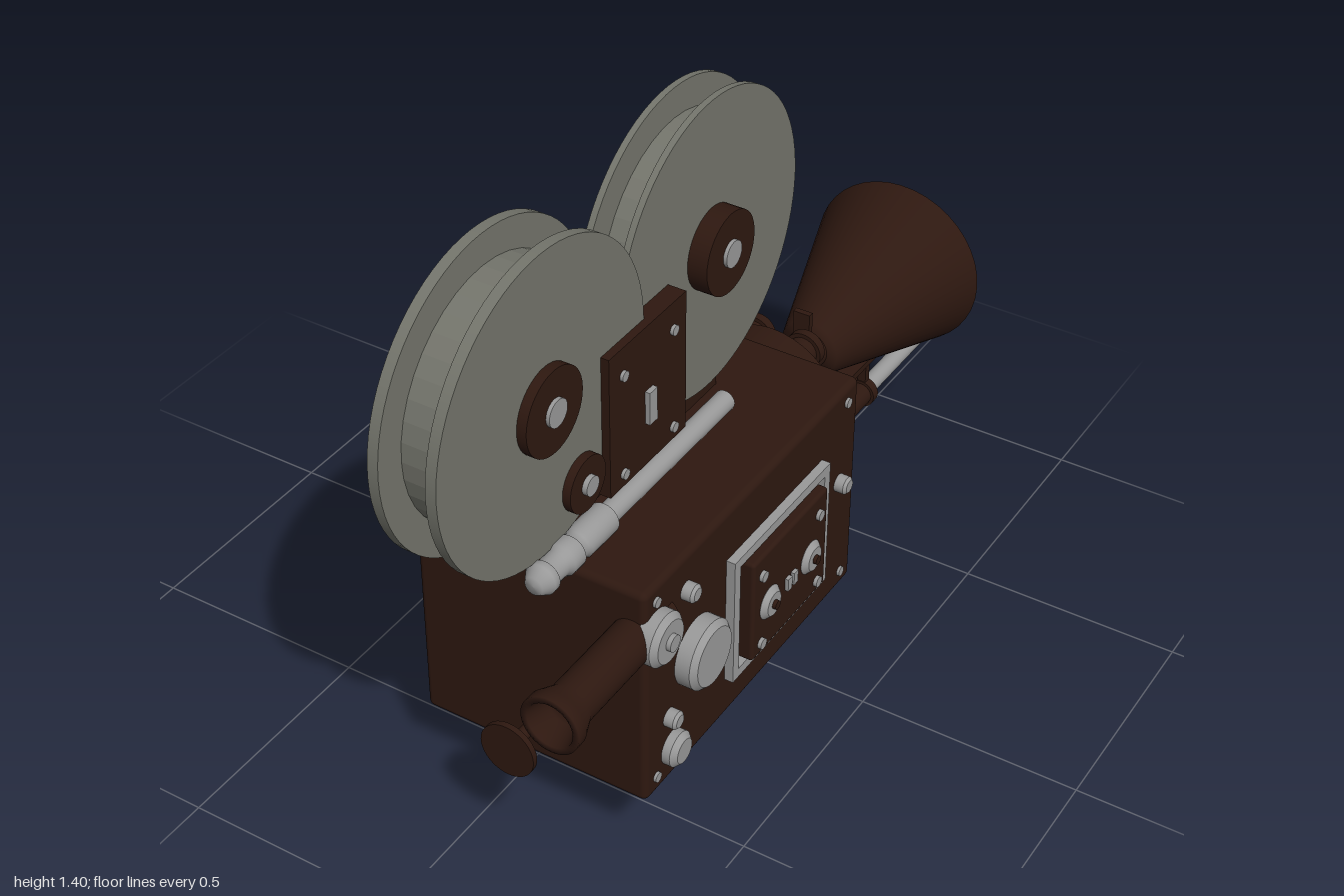
import * as THREE from 'three';
import { RoundedBoxGeometry } from 'three/addons/geometries/RoundedBoxGeometry.js';

const mat = (color, extra = {}) => new THREE.MeshStandardMaterial({ color, ...extra });
const BROWN = mat(0x2e1810);
const BROWN_OPEN = mat(0x2e1810, { side: THREE.DoubleSide });
const SILVER = mat(0x999999);
const REEL = mat(0x74756c);
const FILM = mat(0x74756c, { flatShading: true });
const CX = 0.094; // centre plane of reels, lens and head

export function createModel() {
  const model = new THREE.Group();

  function add(name, geometry, material, x = 0, y = 0, z = 0) {
    const mesh = new THREE.Mesh(geometry, material);
    mesh.name = name;
    mesh.position.set(x, y, z);
    model.add(mesh);
    return mesh;
  }
  // Boxes and cylinders are given by their extents along each axis
  function box(name, m, x0, x1, y0, y1, z0, z1, r = 0) {
    const s = [x1 - x0, y1 - y0, z1 - z0];
    const g = r ? new RoundedBoxGeometry(...s, 3, r) : new THREE.BoxGeometry(...s);
    return add(name, g, m, (x0 + x1) / 2, (y0 + y1) / 2, (z0 + z1) / 2);
  }
  function cylX(name, m, r, x0, x1, y, z, rEnd = r) {
    const g = new THREE.CylinderGeometry(rEnd, r, x1 - x0, 40).rotateZ(-Math.PI / 2);
    return add(name, g, m, (x0 + x1) / 2, y, z);
  }
  function cylZ(name, m, r, x, y, z0, z1, rEnd = r) {
    const g = new THREE.CylinderGeometry(rEnd, r, z1 - z0, 40).rotateX(Math.PI / 2);
    return add(name, g, m, x, y, (z0 + z1) / 2);
  }
  // Turned part along z; profile is [radius, z] from low z to high z
  function latheZ(name, m, profile, x, y) {
    const pts = profile.map(([r, z]) => new THREE.Vector2(r, z));
    return add(name, new THREE.LatheGeometry(pts, 40).rotateX(Math.PI / 2), m, x, y, 0);
  }
  // Button with a bevelled rim standing on the side panel
  function button(name, r, y, z, x1, x0 = 0.35) {
    const bevel = Math.min(0.012, r * 0.3);
    cylX(name, SILVER, r, x0, x1 - bevel, y, z);
    cylX(name + 'Rim', SILVER, r, x1 - bevel, x1, y, z, r - bevel);
  }

  // Camera body
  box('body', BROWN, -0.17, 0.36, 0.17, 0.7, -0.18, 0.645, 0.015);

  // Film reels: the front one is wider so the flanges overlap
  for (const [name, z, half, thick] of [['frontReel', 0.67, 0.073, 0.023], ['backReel', 0.06, 0.05, 0.014]]) {
    cylX(name + 'Film', FILM, 0.262, CX - half + thick, CX + half - thick, 1.075, z);
    for (const s of [-1, 1]) {
      const a = CX + s * half, b = CX + s * (half - thick);
      const flange = new THREE.CylinderGeometry(0.328, 0.328, thick, 72).rotateZ(Math.PI / 2);
      add(name + 'Flange', flange, REEL, (a + b) / 2, 1.075, z);
    }
    cylX(name + 'Hub', BROWN, 0.09, 0, 0.188, 1.075, z);
    cylX(name + 'Axle', SILVER, 0.029, -0.008, 0.196, 1.075, z);
  }

  // Reel bracket with screws, slots and guide roller on both sides
  box('reelBracket', BROWN, 0.003, 0.185, 0.755, 1.077, 0.22, 0.49);
  for (const z of [0.267, 0.443])
    for (const y of [0.785, 1.015]) cylX('bracketScrew', SILVER, 0.011, -0.004, 0.192, y, z);
  box('bracketSlot', SILVER, -0.008, 0.196, 0.855, 0.93, 0.34, 0.367);
  cylX('guideRoller', BROWN, 0.06, 0.003, 0.185, 0.84, 0.565);
  cylX('guideRollerPin', SILVER, 0.021, -0.008, 0.196, 0.84, 0.565);

  // Film throat flaring under the bracket
  const throat = new THREE.Shape();
  throat.moveTo(0, 0.69);
  throat.lineTo(0, 0.76);
  throat.quadraticCurveTo(0.15, 0.76, 0.23, 0.84);
  throat.lineTo(0.48, 0.84);
  throat.quadraticCurveTo(0.54, 0.75, 0.63, 0.74);
  throat.lineTo(0.63, 0.69);
  const throatGeo = new THREE.ExtrudeGeometry(throat, { depth: 0.058, bevelEnabled: false });
  add('filmThroat', throatGeo.rotateY(-Math.PI / 2), BROWN, CX + 0.029);

  // Silver tubes along the top
  for (const x of [0.005, 0.183])
    latheZ('topTube', SILVER, [
      [0, 0.065], [0.023, 0.065], [0.023, 0.5], [0.034, 0.51], [0.034, 0.6], [0.029, 0.605],
      [0.029, 0.62], [0.035, 0.625], [0.035, 0.66], [0.028, 0.67], [0.028, 0.705],
      [0.034, 0.71], [0.034, 0.725], [0.02, 0.748], [0, 0.75]], x, 0.722);

  // Side door: silver frame, raised panel, knobs and screws
  const frame = new THREE.Shape([[-0.03, 0.27], [0.35, 0.27], [0.35, 0.58], [-0.03, 0.58]]
    .map(p => new THREE.Vector2(-p[0], p[1])));
  frame.holes.push(new THREE.Path([[-0.008, 0.292], [-0.008, 0.558], [0.328, 0.558], [0.328, 0.292]]
    .map(p => new THREE.Vector2(-p[0], p[1]))));
  const frameGeo = new THREE.ExtrudeGeometry(frame, { depth: 0.025, bevelEnabled: false });
  add('doorFrame', frameGeo.rotateY(Math.PI / 2), SILVER, 0.355);
  box('doorPanel', BROWN, 0.35, 0.4, 0.303, 0.555, 0.012, 0.31, 0.008);
  for (const z of [0.05, 0.277])
    for (const y of [0.332, 0.508]) cylX('doorScrew', SILVER, 0.012, 0.39, 0.408, y, z);
  for (const z of [0.08, 0.245]) {
    button('doorKnob', 0.038, 0.417, z, 0.412, 0.39);
    cylX('doorKnobPin', BROWN, 0.01, 0.4, 0.42, 0.417, z);
  }
  for (const z of [0.151, 0.175]) box('doorLatch', SILVER, 0.39, 0.408, 0.402, 0.432, z - 0.008, z + 0.008);

  // Dials, buttons and corner screws
  button('largeDial', 0.076, 0.44, 0.465, 0.405);
  button('finderDial', 0.058, 0.583, 0.61, 0.395);
  cylX('finderDialPin', SILVER, 0.018, 0.39, 0.405, 0.583, 0.61);
  button('lowerDial', 0.039, 0.25, 0.55, 0.39);
  for (const [y, z] of [[0.615, 0.5], [0.337, 0.562], [0.47, -0.107]]) button('sideButton', 0.02, y, z, 0.387);
  for (const z of [-0.13, 0.607])
    for (const y of [0.213, 0.663]) cylX('cornerScrew', SILVER, 0.011, 0.35, 0.366, y, z);

  // Viewfinder eyepiece
  latheZ('viewfinder', BROWN_OPEN, [
    [0, 0.55], [0.047, 0.55], [0.047, 0.855], [0.064, 0.895], [0.064, 0.92],
    [0.05, 0.92], [0.035, 0.87], [0, 0.87]], 0.331, 0.585);

  // Rear crank disc
  cylZ('crankShaft', BROWN, 0.014, CX, 0.25, 0.63, 0.73);
  cylZ('crankDisc', BROWN, 0.063, CX, 0.25, 0.722, 0.735);

  // Lens turret with main and spare lenses
  cylZ('turretBase', BROWN, 0.155, CX, 0.49, -0.205, -0.17);
  cylZ('turret', BROWN, 0.172, CX, 0.49, -0.28, -0.2);
  latheZ('mainLens', BROWN, [
    [0.045, -0.46], [0.045, -0.385], [0.057, -0.385], [0.057, -0.36],
    [0.045, -0.36], [0.045, -0.27]], CX, 0.507);
  for (const [x, y, r, z] of [[CX - 0.06, 0.607, 0.034, -0.325], [CX + 0.06, 0.607, 0.034, -0.325], [CX, 0.392, 0.047, -0.365]]) {
    cylZ('spareLens', BROWN, r, x, y, z, -0.27);
    cylZ('spareLensRing', BROWN, r + 0.009, x, y, z - 0.005, z + 0.015);
  }

  // Open conical lens hood
  latheZ('lensHood', BROWN_OPEN, [
    [0.2, -0.865], [0.208, -0.865], [0.07, -0.45], [0, -0.45]], CX, 0.507);
  latheZ('lensHoodLining', BROWN_OPEN, [[0.2, -0.865], [0.062, -0.46]], CX, 0.507);

  // Hood support on its rail
  box('supportUpright', BROWN, CX - 0.02, CX + 0.02, 0.312, 0.625, -0.424, -0.41);
  box('supportBar', BROWN, CX - 0.02, CX + 0.02, 0.312, 0.328, -0.83, -0.41);
  cylZ('rail', SILVER, 0.021, CX, 0.22, -1, -0.15);
  cylZ('railClamp', BROWN, 0.028, CX, 0.22, -0.735, -0.45);
  for (const z of [-0.455, -0.725]) {
    cylZ('clampRing', BROWN, 0.035, CX, 0.22, z - 0.011, z + 0.011);
    box('supportPost', BROWN, CX - 0.01, CX + 0.01, 0.22, 0.32, z - 0.009, z + 0.009);
  }

  // Tripod head with tilt drum, base disc and pan handle
  box('headNeck', BROWN, CX - 0.029, CX + 0.029, 0.12, 0.18, 0.005, 0.39);
  box('headBlock', BROWN, 0.03, 0.163, 0.03, 0.14, 0.005, 0.35);
  cylX('tiltDrum', BROWN, 0.069, 0.03, 0.163, 0.071, 0.37);
  add('baseDisc', new THREE.CylinderGeometry(0.138, 0.138, 0.02, 40), BROWN, CX + 0.002, 0.032, 0.16);
  cylX('panHandle', BROWN, 0.012, -0.29, 0.04, 0.065, 0.27);
  cylX('handleGrip', BROWN, 0.022, -0.415, -0.285, 0.065, 0.27);
  cylX('handleTip', BROWN, 0.016, -0.425, -0.415, 0.065, 0.27, 0.022);

  return model;
}
